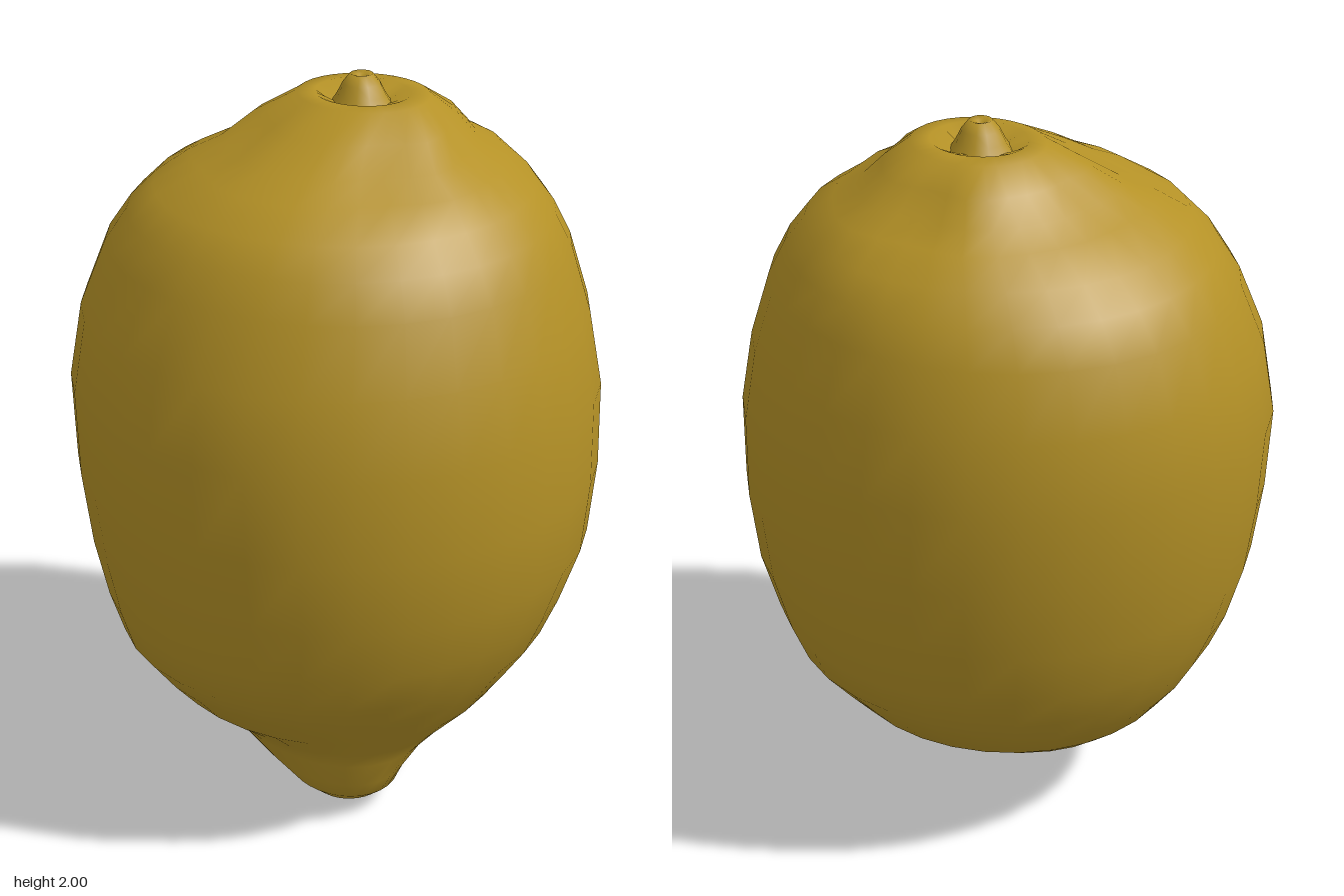
import * as THREE from 'three';

const SIDES = 32;

// Cross-sections from the tip up: y, min x, max x, min z, max z, bulge toward the tip
const RINGS = [
  [0.00, 0.14, 0.23, 0.10, 0.18, 0],
  [0.03, 0.08, 0.27, 0.04, 0.24, 0],
  [0.07, 0.00, 0.31, 0.00, 0.285, 0.01],
  [0.13, -0.12, 0.325, -0.06, 0.315, 0.04],
  [0.20, -0.28, 0.345, -0.20, 0.34, 0.06],
  [0.25, -0.37, 0.39, -0.31, 0.38, 0.05],
  [0.33, -0.46, 0.48, -0.44, 0.49, 0.02],
  [0.41, -0.52, 0.54, -0.51, 0.56, 0],
  [0.50, -0.57, 0.60, -0.585, 0.63, 0],
  [0.61, -0.62, 0.645, -0.63, 0.66, 0],
  [0.77, -0.67, 0.70, -0.67, 0.69, 0],
  [0.97, -0.70, 0.715, -0.70, 0.71, 0],
  [1.20, -0.72, 0.71, -0.705, 0.705, 0],
  [1.40, -0.69, 0.665, -0.68, 0.665, 0],
  [1.57, -0.635, 0.605, -0.63, 0.585, 0],
  [1.66, -0.57, 0.555, -0.585, 0.535, 0],
  [1.73, -0.50, 0.495, -0.535, 0.47, 0],
  [1.79, -0.40, 0.41, -0.465, 0.37, 0],
  [1.83, -0.32, 0.33, -0.395, 0.28, 0],
  [1.89, -0.26, 0.26, -0.345, 0.17, 0],
  [1.945, -0.18, 0.18, -0.27, 0.06, 0],
  [1.95, -0.13, 0.13, -0.22, 0.02, 0],
  [1.92, -0.07, 0.07, -0.16, -0.03, 0],
];

// Lofts the cross-sections into one closed skin
function loftSkin() {
  const pos = [], index = [];
  const tipAngle = Math.atan2(0.15, 0.2);
  for (const [y, x0, x1, z0, z1, bulge] of RINGS) {
    const wrinkle = y > 1.75 && y < 1.94 ? 0.012 : 0;
    for (let j = 0; j < SIDES; j++) {
      const a = (j / SIDES) * Math.PI * 2;
      const grow = bulge * Math.max(0, Math.cos(a - tipAngle)) ** 4
        + wrinkle * (Math.sin(5 * a + 1) + 0.6 * Math.sin(8 * a));
      pos.push(
        (x0 + x1) / 2 + ((x1 - x0) / 2 + grow) * Math.cos(a),
        y,
        (z0 + z1) / 2 + ((z1 - z0) / 2 + grow) * Math.sin(a));
    }
  }
  for (let i = 0; i < RINGS.length - 1; i++) {
    for (let j = 0; j < SIDES; j++) {
      const k = (j + 1) % SIDES;
      const a = i * SIDES + j, b = i * SIDES + k;
      index.push(a, a + SIDES, b, b, a + SIDES, b + SIDES);
    }
  }
  // close both ends
  const bottom = pos.length / 3, top = bottom + 1, last = (RINGS.length - 1) * SIDES;
  pos.push(0.185, 0, 0.14, 0, 1.92, -0.095);
  for (let j = 0; j < SIDES; j++) {
    const k = (j + 1) % SIDES;
    index.push(bottom, j, k, top, last + k, last + j);
  }
  const geo = new THREE.BufferGeometry();
  geo.setAttribute('position', new THREE.Float32BufferAttribute(pos, 3));
  geo.setIndex(index);
  geo.computeVertexNormals();
  return geo;
}

export function createModel() {
  const group = new THREE.Group();
  group.name = 'lemon';
  const peel = new THREE.MeshStandardMaterial({ color: 0xb49126 });
  peel.name = 'lemonPeel';

  const skin = new THREE.Mesh(loftSkin(), peel);
  skin.name = 'fruitSkin';
  group.add(skin);

  // Stem stub with a small hollow on top
  const profile = [[0.085, 1.915], [0.065, 1.945], [0.05, 1.975], [0.03, 2.0], [0.015, 1.995], [0, 1.985]]
    .map(([r, y]) => new THREE.Vector2(r, y));
  const stem = new THREE.Mesh(new THREE.LatheGeometry(profile, 12), peel);
  stem.name = 'stemStub';
  stem.position.z = -0.095;
  group.add(stem);

  return group;
}
